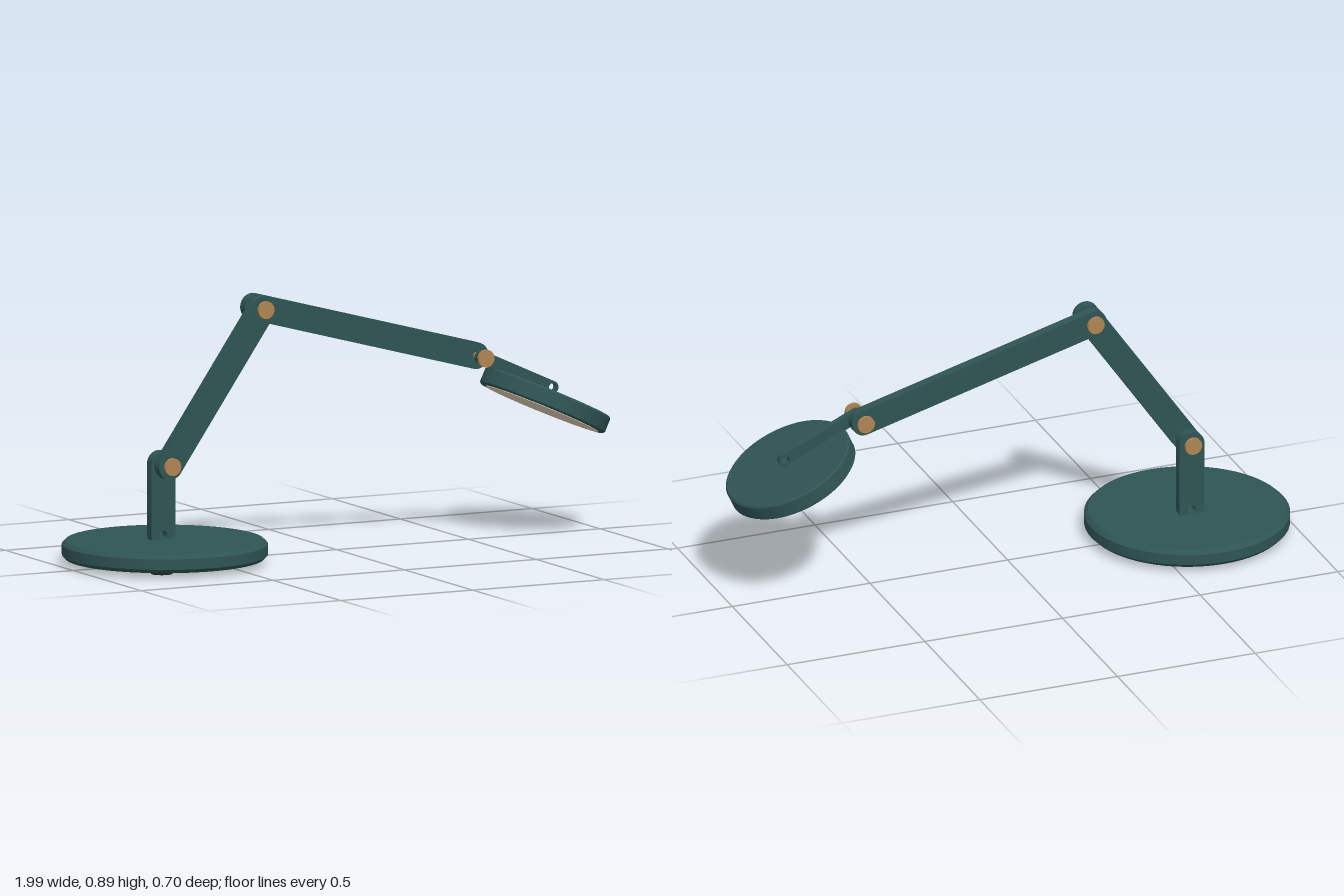
import * as THREE from 'three';
import { toCreasedNormals } from 'three/addons/utils/BufferGeometryUtils.js';

const paint = (name, color) => {
  const m = new THREE.MeshStandardMaterial({ color });
  m.name = name;
  return m;
};

export function createModel() {
  const teal = paint('dark teal', 0x2f5454);
  const brass = paint('brass', 0xb08552);
  const rubber = paint('black rubber', 0x222222);
  const glow = paint('warm diffuser', 0xe2d0b8);

  const lamp = new THREE.Group();
  lamp.name = 'deskLamp';
  const add = (name, geometry, material, parent = lamp) => {
    const mesh = new THREE.Mesh(geometry, material);
    mesh.name = name;
    parent.add(mesh);
    return mesh;
  };

  // Disc with chamfered rims, standing on y = 0
  const disc = (r, h, c) => toCreasedNormals(new THREE.LatheGeometry([
    [0, 0], [r - c, 0], [r, c], [r, h - c], [r - c, h], [0, h],
  ].map(([x, y]) => new THREE.Vector2(x, y)), 64), 0.5);

  // Flat bar with round ends and a bolt hole at each end, running from a to b
  const bar = (name, a, b, r, thick, z) => {
    const length = Math.hypot(b[0] - a[0], b[1] - a[1]);
    const shape = new THREE.Shape();
    shape.absarc(0, 0, r, Math.PI / 2, Math.PI * 1.5, false);
    shape.absarc(length, 0, r, -Math.PI / 2, Math.PI / 2, false);
    shape.closePath();
    for (const x of [0, length]) {
      shape.holes.push(new THREE.Path().absarc(x, 0, 0.0145, 0, Math.PI * 2, true));
    }
    const g = new THREE.ExtrudeGeometry(shape, { depth: thick, bevelEnabled: false, curveSegments: 16 });
    g.translate(0, 0, -thick / 2);
    const mesh = add(name, toCreasedNormals(g, 0.6), teal);
    mesh.position.set(a[0], a[1], z);
    mesh.rotation.z = Math.atan2(b[1] - a[1], b[0] - a[0]);
  };

  const baseX = -0.652;
  const shoulder = [baseX, 0.336], elbow = [-0.298, 0.847], wrist = [0.537, 0.622];
  const side = 0.0275;

  // Weighted base on three feet
  add('base', disc(0.348, 0.062, 0.013), teal).position.set(baseX, 0.018, 0);
  for (let i = 0; i < 3; i++) {
    const t = i * Math.PI * 2 / 3;
    add('foot', new THREE.CylinderGeometry(0.036, 0.036, 0.02, 32), rubber)
      .position.set(baseX + 0.228 * Math.cos(t), 0.01, 0.228 * Math.sin(t));
  }

  // Post and arms, alternating sides of the pivots
  bar('post', [baseX, 0.095], shoulder, 0.045, 0.035, -side);
  bar('lowerArm', shoulder, elbow, 0.045, 0.035, side);
  bar('upperArm', elbow, wrist, 0.045, 0.035, -side);
  bar('headBracket', wrist, [0.8, 0.502], 0.022, 0.024, side);

  // Pivot bolts: a shaft with a round cap at each end
  for (const [x, y] of [shoulder, elbow, wrist]) {
    const bolt = new THREE.Group();
    bolt.name = 'pivotBolt';
    bolt.position.set(x, y, 0);
    bolt.rotation.x = Math.PI / 2;
    lamp.add(bolt);
    add('boltShaft', new THREE.CylinderGeometry(0.011, 0.011, 0.11, 24), brass, bolt);
    for (const s of [-1, 1]) {
      add('boltCap', new THREE.CylinderGeometry(0.03, 0.03, 0.011, 32), brass, bolt).position.y = s * 0.0575;
    }
  }

  // Tilted lamp head with a light panel underneath
  const head = new THREE.Group();
  head.name = 'lampHead';
  head.position.set(0.79, 0.486, side);
  head.rotation.z = -25 * Math.PI / 180;
  lamp.add(head);
  add('headShell', disc(0.2275, 0.06, 0.006), teal, head).position.y = -0.06;
  add('lightPanel', new THREE.CylinderGeometry(0.205, 0.205, 0.004, 64), glow, head).position.y = -0.06;

  return lamp;
}
